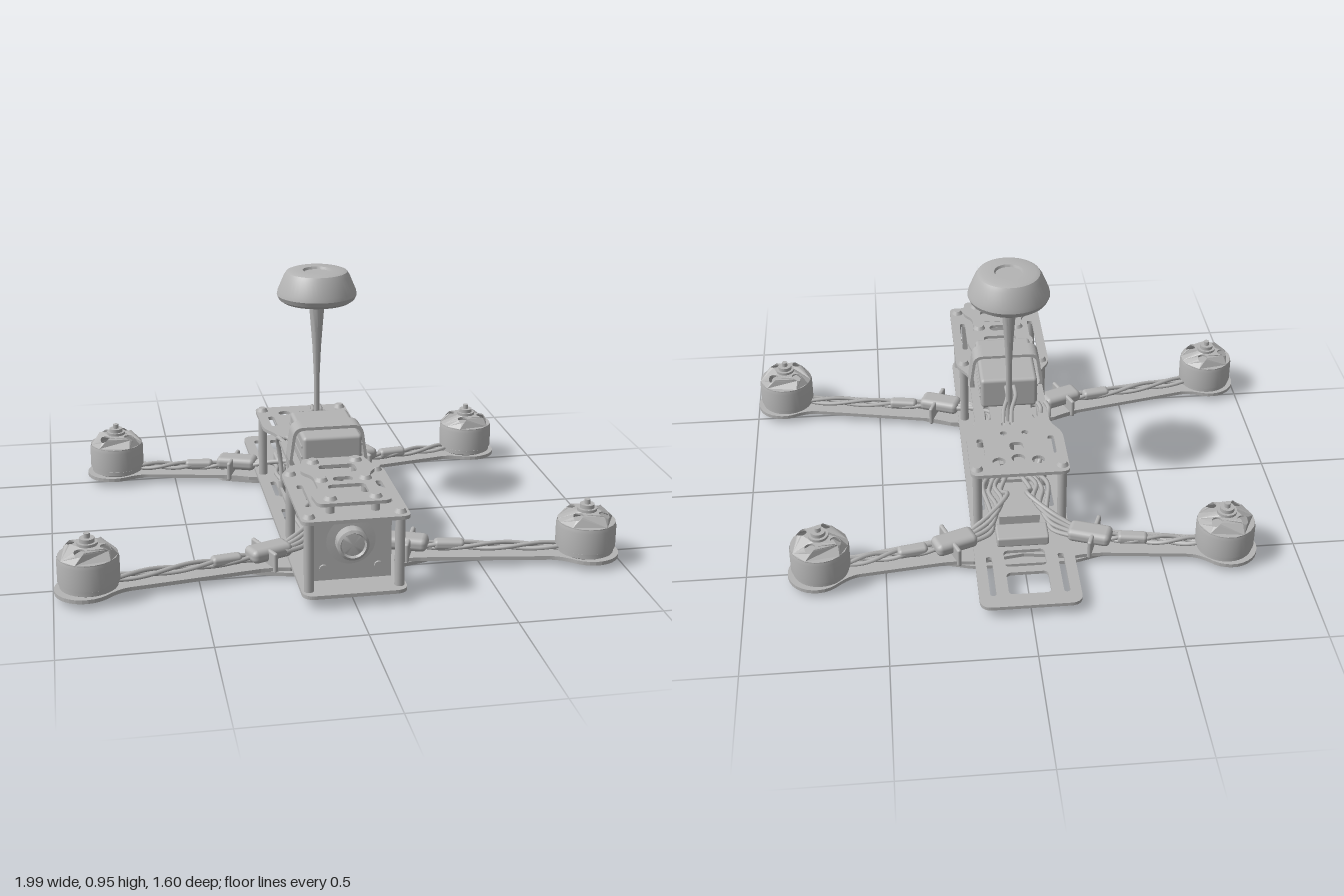
import * as THREE from 'three';
import { toCreasedNormals } from 'three/addons/utils/BufferGeometryUtils.js';
import { RoundedBoxGeometry } from 'three/addons/geometries/RoundedBoxGeometry.js';

const grey = new THREE.MeshStandardMaterial({ color: 0xb4b4b4, side: THREE.DoubleSide });
grey.name = 'plain grey';

function add(parent, name, geo, x = 0, y = 0, z = 0) {
  const m = new THREE.Mesh(geo, grey);
  m.name = name;
  m.position.set(x, y, z);
  parent.add(m);
  return m;
}
const cyl = (r, h, n = 20, r2 = r) => new THREE.CylinderGeometry(r, r2, h, n);
const box = (w, h, d, r = 0) => r ? new RoundedBoxGeometry(w, h, d, 2, r) : new THREE.BoxGeometry(w, h, d);
const lathe = (pts, n = 36) =>
  toCreasedNormals(new THREE.LatheGeometry(pts.map(p => new THREE.Vector2(...p)), n), 0.5);
const tube = (pts, r, n = 24) =>
  new THREE.TubeGeometry(new THREE.CatmullRomCurve3(pts.map(p => new THREE.Vector3(...p))), n, r, 7);

// Closed outline of (x, z) points with rounded corners
function outline(pts, r, target = new THREE.Shape()) {
  const P = pts.map(([x, z]) => new THREE.Vector2(x, -z));
  P.forEach((p, i) => {
    const a = P[(i + P.length - 1) % P.length], b = P[(i + 1) % P.length];
    const from = p.clone().lerp(a, Math.min(0.5, r / p.distanceTo(a)));
    const to = p.clone().lerp(b, Math.min(0.5, r / p.distanceTo(b)));
    if (i) target.lineTo(from.x, from.y); else target.moveTo(from.x, from.y);
    target.quadraticCurveTo(p.x, p.y, to.x, to.y);
  });
  target.closePath();
  return target;
}
// Holes: [x, z, radius] or [x, z, width, depth]
function hole([x, z, w, d]) {
  if (d === undefined) return new THREE.Path().absarc(x, -z, w, 0, Math.PI * 2, true);
  const a = w / 2, b = d / 2;
  return outline([[x - a, z - b], [x + a, z - b], [x + a, z + b], [x - a, z + b]], Math.min(a, b, 0.02), new THREE.Path());
}
function plate(shape, thick, holes = []) {
  shape.holes.push(...holes.map(hole));
  return new THREE.ExtrudeGeometry(shape, { depth: thick, bevelEnabled: false, curveSegments: 10 }).rotateX(-Math.PI / 2);
}
// Mirror a right-hand outline (listed front to back) across x = 0
const mirrorX = half => [...half, ...half.slice().reverse().map(([x, z]) => [-x, z])];
const both = list => list.flatMap(([x, ...rest]) => [[x, ...rest], [-x, ...rest]]);

function motor() {
  const g = new THREE.Group();
  g.name = 'motor';
  add(g, 'motorBase', lathe([[0, 0], [0.085, 0], [0.1, 0.008], [0.1, 0.024], [0.06, 0.026]]));
  add(g, 'stator', cyl(0.06, 0.085), 0, 0.065);
  add(g, 'bell', lathe([[0.085, 0.027], [0.106, 0.027], [0.106, 0.104], [0.103, 0.117]]));
  // Vented top cap, lifted into a truncated cone
  const vents = [0, 1, 2, 3].map(i => {
    const a = i * Math.PI / 2 + 0.6;
    return [0.066 * Math.cos(a), 0.066 * Math.sin(a), 0.019];
  });
  const cap = plate(new THREE.Shape().absarc(0, 0, 0.103, 0, Math.PI * 2), 0.006, [...vents, [0, 0, 0.035]]);
  const p = cap.attributes.position;
  for (let i = 0; i < p.count; i++) {
    p.setY(i, p.getY(i) + Math.min(0.036, (0.103 - Math.hypot(p.getX(i), p.getZ(i))) * 1.2));
  }
  cap.computeVertexNormals();
  add(g, 'bellCap', cap, 0, 0.114);
  add(g, 'hub', cyl(0.036, 0.022), 0, 0.155);
  add(g, 'shaftCollar', cyl(0.026, 0.016), 0, 0.172);
  add(g, 'shaft', cyl(0.011, 0.05, 12), 0, 0.172);
  return g;
}

// One arm, built along local +x, with its motor, controller and wires
function arm(sx, sz, rootZ, mx, mz) {
  const g = new THREE.Group();
  g.name = (sz > 0 ? 'front' : 'rear') + (sx > 0 ? 'Left' : 'Right') + 'Arm';
  const dx = sx * (mx - 0.1), dz = mz - rootZ, L = Math.hypot(dx, dz);
  g.position.set(sx * 0.1, 0, rootZ);
  g.rotation.y = Math.atan2(-dz, dx);
  const s = new THREE.Shape();
  s.moveTo(-0.1, -0.09);
  s.lineTo(0.1, -0.09);
  s.quadraticCurveTo(0.14, -0.075, 0.2, -0.068);
  s.lineTo(L - 0.13, -0.055);
  s.quadraticCurveTo(L - 0.09, -0.055, L - 0.04, -0.09);
  s.absarc(L + 0.014, 0, 0.105, -2.1, 2.1, false);
  s.quadraticCurveTo(L - 0.09, 0.055, L - 0.13, 0.055);
  s.lineTo(0.2, 0.068);
  s.quadraticCurveTo(0.14, 0.075, 0.1, 0.09);
  s.lineTo(-0.1, 0.09);
  const screws = [0, 1, 2, 3].map(i => [L + 0.055 * Math.cos(i * Math.PI / 2 + 0.8), 0.055 * Math.sin(i * Math.PI / 2 + 0.8), 0.012]);
  add(g, 'armPlate', plate(s, 0.014, [[L, 0, 0.022], ...screws]), 0, 0.023);
  const m = motor();
  m.position.set(L, 0.037, 0);
  g.add(m);
  // Speed controller with zip tie, connector sleeve
  const esc = add(g, 'speedController', box(0.16, 0.05, 0.085, 0.02), 0.15, 0.07, 0);
  esc.rotation.y = -sx * sz * 0.2;
  const tie = add(g, 'zipTie', box(0.016, 0.075, 0.17, 0.007), 0.165, 0.055, 0);
  tie.rotation.y = esc.rotation.y;
  add(g, 'connectorSleeve', box(0.11, 0.036, 0.046, 0.014), 0.305, 0.06, 0);
  // Three twisted wires running out to the motor
  for (let k = 0; k < 3; k++) {
    const pts = [];
    for (let i = 0; i <= 8; i++) {
      const t = i / 8, a = t * 7 + k * 2.1;
      pts.push([0.2 + t * (L - 0.28), 0.055 + 0.01 * Math.sin(a), 0.018 * Math.cos(a)]);
    }
    add(g, 'motorWire', tube(pts, 0.008, 30));
  }
  return g;
}

export function createModel() {
  const root = new THREE.Group();
  root.name = 'quadcopter';

  // Frame plates
  const square = (w, z0, z1, r) => outline([[w, z1], [w, z0], [-w, z0], [-w, z1]], r);
  add(root, 'bottomPlate', plate(square(0.18, -0.8, 0.795, 0.045), 0.013, [
    [0, -0.68, 0.15, 0.115], [0, -0.545, 0.15, 0.09], [0, -0.27, 0.14, 0.1], [0, 0, 0.14, 0.13],
    [0, 0.24, 0.14, 0.12], [0, 0.62, 0.14, 0.09],
    ...both([[0.13, -0.635, 0.022, 0.21], [0.13, -0.18, 0.022, 0.15], [0.13, 0.12, 0.022, 0.18]]),
  ]), 0, 0.037);
  add(root, 'topPlate', plate(outline(mirrorX([[0.185, 0.79], [0.185, 0.34], [0.14, 0.27], [0.14, -0.08], [0.18, -0.15], [0.18, -0.395]]), 0.03), 0.013, [
    [0, 0.44, 0.14, 0.085], [0, 0.62, 0.14, 0.1], [0, -0.3, 0.025], [0, -0.225, 0.05, 0.05],
    ...both([[0.072, -0.315, 0.024], [0.132, -0.225, 0.024, 0.11], [0.14, 0.56, 0.022, 0.2], [0.09, 0.0, 0.022, 0.1], [0.04, -0.14, 0.013]]),
  ]), 0, 0.302);
  add(root, 'cameraMountPlate', plate(outline(mirrorX([[0.125, 0.755], [0.135, 0.66], [0.1, 0.62], [0.1, 0.5], [0.135, 0.45], [0.11, 0.33]]), 0.025), 0.012, [
    [0, 0.635, 0.13, 0.09], [0, 0.44, 0.13, 0.075], [0, 0.54, 0.07, 0.04],
  ]), 0, 0.35);
  for (const s of [1, -1]) {
    add(root, 'armClampPlate', plate(outline(mirrorX([[0.18, s * 0.545], [0.33, s * 0.5], [0.33, s * 0.41], [0.18, s * 0.35]]), 0.03), 0.013, [
      [0, s * 0.45, 0.12, 0.08], [0.25, s * 0.455, 0.018], [-0.25, s * 0.455, 0.018],
    ]), 0, 0.01);
    for (const x of [-0.29, -0.13, 0.13, 0.29]) add(root, 'clampScrew', cyl(0.017, 0.01, 12), x, 0.005, s * 0.455);
  }

  // Standoffs with button screws
  for (const sx of [1, -1]) {
    for (const z of [0.75, 0.355, -0.355]) {
      add(root, 'standoff', cyl(0.017, 0.255, 14), sx * 0.155, 0.175, z);
      add(root, 'topScrew', cyl(0.014, 0.014, 14, 0.022), sx * 0.155, 0.322, z);
    }
    for (const z of [0.715, 0.545, 0.37]) {
      add(root, 'mountSpacer', cyl(0.015, 0.04, 12), sx * 0.077, 0.333, z);
      add(root, 'mountScrew', cyl(0.016, 0.013, 14, 0.024), sx * 0.077, 0.368, z);
    }
  }

  // Arms
  for (const sx of [1, -1]) {
    root.add(arm(sx, 1, 0.42, 0.878, 0.56));
    root.add(arm(sx, -1, -0.43, 0.73, -0.53));
  }

  // Forward camera
  add(root, 'cameraPlate', box(0.27, 0.245, 0.014), 0.005, 0.177, 0.68);
  const board = add(root, 'cameraBoard', box(0.24, 0.19, 0.014), 0, 0.2, 0.645);
  board.rotation.x = 0.12;
  const lens = add(root, 'lens', lathe([[0, 0], [0.085, 0], [0.085, 0.012], [0.055, 0.014], [0.055, 0.055], [0.045, 0.06], [0.04, 0.05], [0, 0.053]]), 0, 0.195, 0.675);
  lens.rotation.x = Math.PI / 2;
  for (const x of [-0.095, 0.095]) for (const y of [0.1, 0.275]) {
    add(root, 'cameraScrew', cyl(0.014, 0.012, 12), x, y, 0.69).rotation.x = Math.PI / 2;
  }

  // Battery, strap and leads
  add(root, 'battery', box(0.215, 0.125, 0.3, 0.014), 0.003, 0.378, 0.18);
  for (const y of [0.36, 0.4]) for (const x of [-0.105, 0.111]) add(root, 'batterySeam', box(0.006, 0.008, 0.27), x, y, 0.18);
  const band = outline([[-0.125, -0.455], [0.125, -0.455], [0.147, -0.3], [-0.147, -0.3]], 0.035);
  band.holes.push(outline([[-0.115, -0.444], [0.115, -0.444], [0.135, -0.311], [-0.135, -0.311]], 0.03, new THREE.Path()));
  add(root, 'batteryStrap', new THREE.ExtrudeGeometry(band, { depth: 0.085, bevelEnabled: false }), 0, 0, 0.178);
  for (const x of [-0.015, 0.015]) {
    add(root, 'batteryLead', tube([[x, 0.41, 0.04], [x, 0.405, -0.03], [x + 0.02, 0.395, -0.1], [x + 0.03, 0.385, -0.18]], 0.008));
    add(root, 'powerLead', tube([[x - 0.12, 0.33, 0.03], [x - 0.13, 0.325, -0.005], [x - 0.12, 0.24, -0.025], [x - 0.11, 0.14, -0.012], [x - 0.09, 0.09, -0.04]], 0.009));
  }

  // Antenna
  add(root, 'antennaStem', lathe([[0, 0.25], [0.011, 0.25], [0.011, 0.55], [0.016, 0.66], [0.022, 0.74], [0.03, 0.84]], 18), 0.012, 0, -0.055);
  add(root, 'antennaHead', lathe([[0, 0.838], [0.125, 0.838], [0.14, 0.848], [0.148, 0.865], [0.145, 0.88], [0.122, 0.935], [0.112, 0.95], [0.098, 0.955], [0.052, 0.955], [0.048, 0.946], [0, 0.946]], 48), 0.012, 0, -0.055);

  // Flight electronics
  add(root, 'flightBoard', box(0.25, 0.014, 0.25), 0, 0.08, 0);
  add(root, 'boardChip', box(0.09, 0.018, 0.09), 0, 0.095, 0);
  for (const x of [-0.11, 0.11]) for (const z of [-0.11, 0.11]) add(root, 'boardPost', cyl(0.018, 0.062, 12), x, 0.08, z);
  add(root, 'receiver', box(0.19, 0.04, 0.09, 0.008), 0, 0.072, -0.44);
  add(root, 'videoTransmitter', box(0.15, 0.035, 0.1), 0, 0.069, -0.3);
  add(root, 'videoCoupler', cyl(0.02, 0.19, 12), 0.012, 0.16, -0.055);

  // Wiring loom from the board to the controllers
  for (const sx of [1, -1]) for (const sz of [1, -1]) for (let k = 0; k < 4; k++) {
    const o = (k - 1.5) * 0.022;
    add(root, 'loomWire', tube([
      [sx * (0.06 + o), 0.09, sz * 0.1], [sx * (0.09 + o), 0.085 + 0.02 * (k % 2), sz * 0.19],
      [sx * (0.07 + o), 0.12 - 0.012 * k, sz * (0.29 + o)], [sx * 0.11, 0.1 - 0.01 * k, sz * (0.38 + o)],
      [sx * 0.19, 0.07, sz * (0.435 + o)],
    ], 0.009));
  }
  return root;
}
